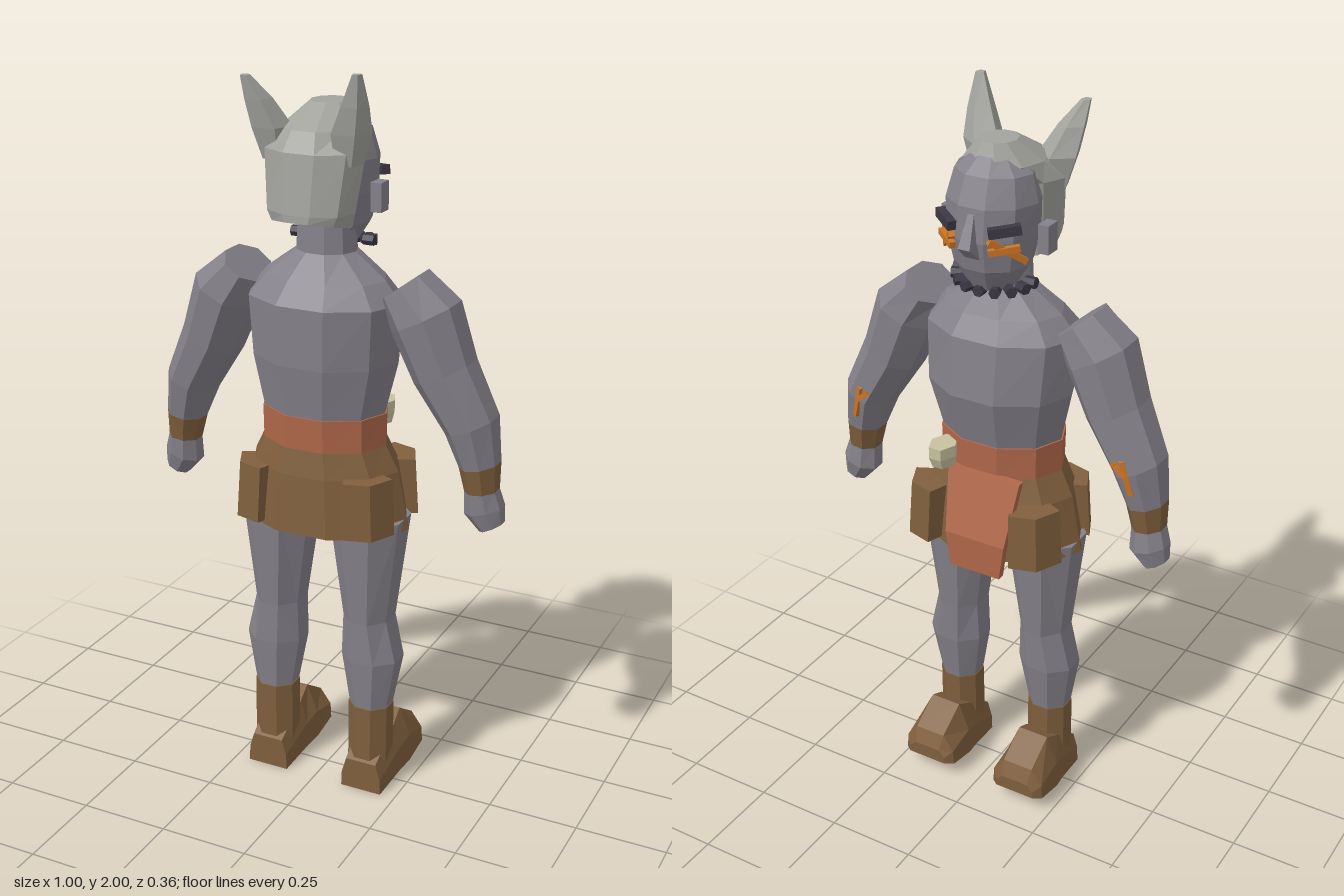
import * as THREE from 'three';

const mat = (name, color) => {
  const m = new THREE.MeshStandardMaterial({ color, flatShading: true });
  m.name = name;
  return m;
};
const V = (x, y, z) => new THREE.Vector3(x, y, z);

// Closed surface through rings of points (counterclockwise around the direction of travel)
function skin(rings) {
  const p = [], n = rings[0].length;
  const tri = (...vs) => vs.forEach(v => p.push(v.x, v.y, v.z));
  for (let r = 0; r < rings.length - 1; r++) {
    const a = rings[r], b = rings[r + 1];
    for (let i = 0; i < n; i++) {
      const j = (i + 1) % n;
      tri(a[i], a[j], b[j]);
      tri(a[i], b[j], b[i]);
    }
  }
  const first = rings[0], last = rings[rings.length - 1];
  for (let i = 1; i < n - 1; i++) {
    tri(first[0], first[i + 1], first[i]);
    tri(last[0], last[i], last[i + 1]);
  }
  const g = new THREE.BufferGeometry();
  g.setAttribute('position', new THREE.Float32BufferAttribute(p, 3));
  g.computeVertexNormals();
  return g;
}

// Faceted oval ring whose extents are exactly u and v
function ring(c, u, v, n, phase) {
  const angles = Array.from({ length: n }, (_, i) => (i + phase) / n * Math.PI * 2);
  const mc = Math.max(...angles.map(Math.cos)), ms = Math.max(...angles.map(Math.sin));
  return angles.map(a => c.clone().addScaledVector(u, Math.cos(a) / mc).addScaledVector(v, Math.sin(a) / ms));
}

// Upright body: rows of [y, half width, zFront, zBack, centre x]
const column = (rows, n = 10, phase = 0) => skin(rows.map(([y, hx, z0, z1, cx = 0]) =>
  ring(V(cx, y, (z0 + z1) / 2), V(hx, 0, 0), V(0, 0, -(z1 - z0) / 2), n, phase)));

// Limb: rows of [x, y, z, half width, half depth]
function limb(rows, all = rows, start = 0) {
  return skin(rows.map(([x, y, z, hw, hz], k) => {
    const i = k + start, a = all[Math.max(0, i - 1)], b = all[Math.min(all.length - 1, i + 1)];
    const d = V(b[0] - a[0], b[1] - a[1], 0).normalize();
    return ring(V(x, y, z), V(-d.y * hw, d.x * hw, 0), V(0, 0, hz), 8, 0.5);
  }));
}

// Square bar between two points
function bar(a, b, w) {
  const g = new THREE.BoxGeometry(w, w, a.distanceTo(b));
  const m = new THREE.Matrix4().lookAt(a, b, V(0, 1, 0));
  m.setPosition(a.clone().add(b).multiplyScalar(0.5));
  return g.applyMatrix4(m).toNonIndexed();
}

// Mirrored copy with its corner order kept outward
function mirror(src, axis = 'x') {
  const g = src.index ? src.toNonIndexed() : src.clone();
  g.scale(axis === 'x' ? -1 : 1, 1, axis === 'z' ? -1 : 1);
  const p = g.attributes.position, a = V(0, 0, 0), b = V(0, 0, 0);
  for (let i = 0; i < p.count; i += 3) {
    a.fromBufferAttribute(p, i + 1);
    b.fromBufferAttribute(p, i + 2);
    p.setXYZ(i + 1, b.x, b.y, b.z);
    p.setXYZ(i + 2, a.x, a.y, a.z);
  }
  g.computeVertexNormals();
  return g;
}

export function createModel() {
  const model = new THREE.Group();
  model.name = 'figure';
  const skinGrey = mat('skinGrey', 0x85818a), hairGrey = mat('hairGrey', 0xa3a39e);
  const leather = mat('leather', 0x805f3d), cloth = mat('clayCloth', 0xb0674a);
  const bone = mat('bone', 0xc8c1a0), paint = mat('orangePaint', 0xcc7424), dark = mat('darkBead', 0x3c3844);

  const add = (name, geo, m) => {
    const mesh = new THREE.Mesh(geo, m);
    mesh.name = name;
    model.add(mesh);
  };
  const pair = (name, geo, m) => {
    add(name + 'Left', geo, m);
    add(name + 'Right', mirror(geo), m);
  };

  // Body
  add('torso', column([
    [1.1, 0.17, -0.11, 0.14], [1.25, 0.205, -0.15, 0.162], [1.41, 0.215, -0.135, 0.166],
    [1.465, 0.17, -0.1, 0.125], [1.53, 0.082, -0.065, 0.075], [1.66, 0.075, -0.06, 0.07]]), skinGrey);
  add('belt', column([[1.02, 0.176, -0.115, 0.142], [1.11, 0.177, -0.117, 0.145]]), cloth);
  add('skirt', column([[0.79, 0.243, -0.15, 0.168], [0.95, 0.212, -0.135, 0.155], [1.025, 0.174, -0.112, 0.14]]), leather);

  // Corner flaps on the skirt
  const foot = [[0.232, -0.08], [0.198, -0.155], [0.125, -0.176], [0.1, -0.1], [0.19, -0.06]];
  const flap = skin([[0.8, 1], [0.955, 0.96]].map(([y, s]) => foot.map(([x, z]) => V(x * s, y, z * s))));
  pair('frontFlap', flap, leather);
  pair('backFlap', mirror(flap, 'z').scale(1, 1, 0.96), leather);

  // Hanging loincloth and bone toggle
  add('loincloth', skin([[0.76, -0.168, -0.1, 0.05], [0.86, -0.17, -0.115, 0.063], [1.03, -0.115, -0.13, 0.085]]
    .map(([y, z, x0, x1]) => [V(x1, y, z + 0.008), V(x1, y, z - 0.014), V(x0, y, z - 0.014), V(x0, y, z + 0.008)])), cloth);
  add('toggle', column([[1.03, 0.03, -0.16, -0.09, 0.1], [1.06, 0.036, -0.172, -0.085, 0.1],
    [1.092, 0.036, -0.172, -0.085, 0.1]], 6), bone);

  // Legs and boots
  pair('leg', column([[0.25, 0.055, -0.03, 0.08, 0.147], [0.4, 0.08, -0.055, 0.092, 0.147],
    [0.52, 0.064, -0.06, 0.093, 0.135], [0.82, 0.102, -0.088, 0.115, 0.132]], 8, 0.5), skinGrey);
  pair('bootShaft', column([[0.06, 0.058, -0.03, 0.085, 0.147], [0.255, 0.058, -0.032, 0.083, 0.147]], 8, 0.5), leather);
  const stations = [[0.092, 0, 0.09, 0.06, 0.045], [-0.02, 0.02, 0.165, 0.072, 0.05], [-0.07, 0.028, 0.19, 0.08, 0.045],
    [-0.157, 0.045, 0.133, 0.08, 0.045], [-0.176, 0.05, 0.09, 0.06, 0.04]];
  pair('bootFoot', skin(stations.map(([z, y0, y1, b, t]) => {
    const ym = y0 + (y1 - y0) * 0.5;
    return [[b, y0], [-b, y0], [-b * 0.97, ym], [-t, y1], [t, y1], [b * 0.97, ym]].map(([x, y]) => V(0.147 + x, y, z));
  })), leather);

  // Arms, cuffs and hands
  const arm = [[0.225, 1.465, 0.015, 0.06, 0.088], [0.283, 1.39, 0.015, 0.088, 0.1], [0.337, 1.25, 0.01, 0.078, 0.09],
    [0.41, 1.115, 0, 0.066, 0.08], [0.435, 1.01, 0, 0.05, 0.058], [0.443, 0.94, 0, 0.042, 0.046],
    [0.45, 0.885, -0.005, 0.051, 0.048], [0.472, 0.84, -0.005, 0.033, 0.034]];
  pair('arm', limb(arm.slice(0, 5), arm, 0), skinGrey);
  pair('cuff', limb(arm.slice(4, 6), arm, 4), leather);
  pair('hand', limb(arm.slice(5), arm, 5), skinGrey);
  pair('armMarkLong', bar(V(0.395, 1.155, -0.08), V(0.42, 1.06, -0.07), 0.014), paint);
  pair('armMarkShort', bar(V(0.37, 1.145, -0.08), V(0.407, 1.115, -0.08), 0.014), paint);

  // Head
  add('head', column([[1.54, 0.06, -0.1, 0.02], [1.6, 0.1, -0.132, 0.06], [1.68, 0.117, -0.148, 0.08],
    [1.765, 0.122, -0.142, 0.08], [1.835, 0.105, -0.115, 0.06], [1.88, 0.05, -0.07, 0.03]]), skinGrey);
  add('nose', skin([[1.635, 0.03, -0.14], [1.67, 0.024, -0.178], [1.75, 0.012, -0.143]]
    .map(([y, w, z]) => [V(w, y, -0.1), V(w * 0.7, y, z), V(-w * 0.7, y, z), V(-w, y, -0.1)])), skinGrey);
  pair('ear', new THREE.BoxGeometry(0.03, 0.075, 0.045).translate(0.138, 1.675, -0.012), skinGrey);

  // Hair cap and its two tufts
  const cap = column([[1.6, 0.105, 0, 0.178], [1.65, 0.12, 0.005, 0.178], [1.8, 0.138, -0.025, 0.163],
    [1.85, 0.105, -0.085, 0.135], [1.905, 0.05, -0.065, 0.04]]);
  const cp = cap.attributes.position;
  for (let i = 0; i < cp.count; i++) {
    if (cp.getY(i) < 1.61) cp.setY(i, 1.592 + 0.22 * Math.max(0, cp.getZ(i)));
  }
  cap.computeVertexNormals();
  add('hairCap', cap, hairGrey);
  for (const [name, s, top] of [['hairTuftLeft', 1, 2], ['hairTuftRight', -1, 1.978]]) {
    add(name, column([[1.77, 0.035, 0.055, 0.125, 0.1 * s], [1.85, 0.052, 0.045, 0.15, 0.108 * s],
      [1.92, 0.035, 0.085, 0.16, 0.13 * s], [top, 0.012, 0.135, 0.165, 0.15 * s]], 5, 0.25), hairGrey);
  }

  // Brows, cheek paint and chin beads
  pair('brow', bar(V(0.115, 1.722, -0.1), V(0.05, 1.712, -0.148), 0.024), dark);
  pair('cheekPaintLong', bar(V(0.115, 1.63, -0.075), V(0.052, 1.692, -0.148), 0.016), paint);
  pair('cheekPaintShort', bar(V(0.112, 1.672, -0.1), V(0.05, 1.662, -0.148), 0.016), paint);
  for (let i = 0; i <= 8; i++) {
    const a = i / 8 * Math.PI;
    const bead = new THREE.CylinderGeometry(0.015, 0.015, 0.03, 6).rotateZ(Math.PI / 2).rotateY(a);
    add('chinBead' + (i + 1), bead.translate(0.103 * Math.cos(a), 1.555 - 0.016 * Math.sin(a), -0.03 - 0.072 * Math.sin(a)), dark);
  }
  return model;
}
